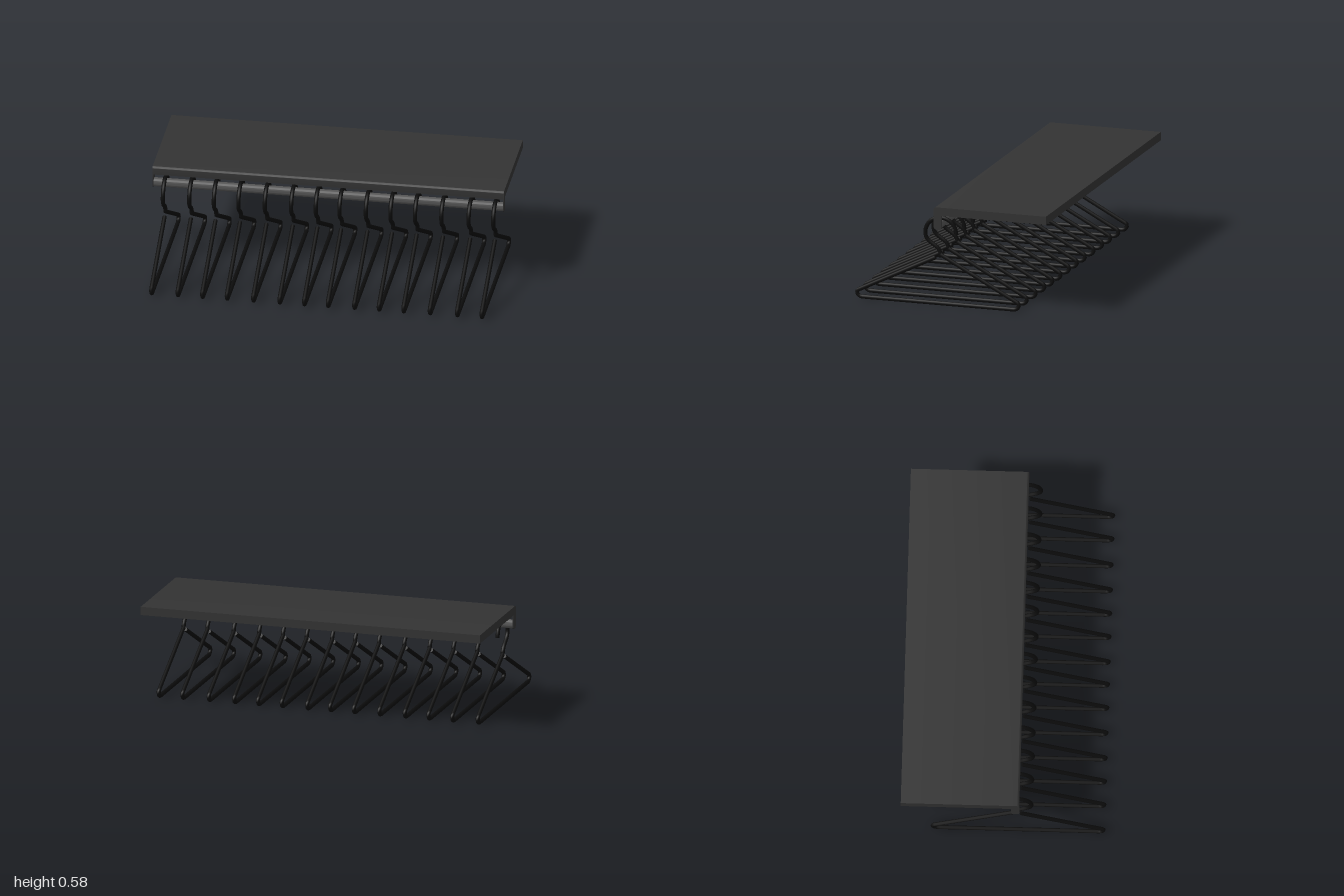
import * as THREE from 'three';
import { toCreasedNormals } from 'three/addons/utils/BufferGeometryUtils.js';

const shelfMat = new THREE.MeshStandardMaterial({ color: 0x333333 });
const rodMat = new THREE.MeshStandardMaterial({ color: 0x555555 });
const wireMat = new THREE.MeshStandardMaterial({ color: 0x0c0c0c });

function addMesh(parent, name, geometry, material) {
  const mesh = new THREE.Mesh(geometry, material);
  mesh.name = name;
  parent.add(mesh);
  return mesh;
}

// Rectangle in the z-y plane with its own radius per corner, extruded from x0 to x1
function slab(zBack, zFront, y0, y1, x0, x1, { topFront = 0, topBack = 0, bottomFront = 0, bottomBack = 0 }) {
  const l = -zFront, r = -zBack;
  const s = new THREE.Shape();
  const corner = (cx, cy, radius, start) => {
    if (radius) s.absarc(cx, cy, radius, start, start + Math.PI / 2, false);
    else s.lineTo(cx, cy);
  };
  s.moveTo(l + bottomFront, y0);
  corner(r - bottomBack, y0 + bottomBack, bottomBack, -Math.PI / 2);
  corner(r - topBack, y1 - topBack, topBack, 0);
  corner(l + topFront, y1 - topFront, topFront, Math.PI / 2);
  corner(l + bottomFront, y0 + bottomFront, bottomFront, Math.PI);
  const g = new THREE.ExtrudeGeometry(s, { depth: x1 - x0, bevelEnabled: false, curveSegments: 8 });
  g.rotateY(Math.PI / 2).translate(x0, 0, 0);
  return toCreasedNormals(g, 0.6);
}

// Centre line of the bent wire, drawn as (z, y)
class WireCurve extends THREE.Curve {
  constructor() {
    super();
    const p = new THREE.Path();
    p.absarc(0.066, 0.417, 0.092, Math.PI, 0, true);          // hook
    p.bezierCurveTo(0.158, 0.35, 0.066, 0.355, 0.068, 0.295); // neck
    p.lineTo(-0.39, 0.051);                                   // back shoulder
    p.bezierCurveTo(-0.407, 0.042, -0.393, 0.012, -0.367, 0.012);
    p.lineTo(0.533, 0.012);                                   // bottom bar
    p.bezierCurveTo(0.559, 0.012, 0.573, 0.042, 0.556, 0.051);
    p.lineTo(0.097, 0.277);                                   // front shoulder
    this.path = p;
  }
  getPoint(t, target = new THREE.Vector3()) {
    const q = this.path.getPoint(t);
    return target.set(0, q.y, q.x);
  }
}

export function createModel() {
  const model = new THREE.Group();
  model.name = 'shelfWithHangers';

  // Shelf board with a softened front edge
  addMesh(model, 'shelf', slab(-0.575, 0.091, 0.532, 0.58, -1, 1, { topFront: 0.014 }), shelfMat);

  // Hanging rod and the thin plates that hold its ends
  const round = { topFront: 0.02, topBack: 0.02, bottomFront: 0.02, bottomBack: 0.02 };
  addMesh(model, 'rod', slab(0.046, 0.09, 0.452, 0.502, -0.995, 0.995, round), rodMat);
  const plate = { topFront: 0.014, bottomFront: 0.018, bottomBack: 0.018 };
  for (const [name, x] of [['rightRodBracket', -1], ['leftRodBracket', 0.994]]) {
    addMesh(model, name, slab(0.044, 0.092, 0.45, 0.579, x, x + 0.006, plate), shelfMat);
  }

  // Wire hangers, unevenly spaced along the rod
  const curve = new WireCurve();
  const radius = 0.012;
  const wireGeo = new THREE.TubeGeometry(curve, 200, radius, 8, false);
  const capGeo = new THREE.CircleGeometry(radius, 8);
  const spots = [-0.93, -0.78, -0.64, -0.5, -0.35, -0.2, -0.06, 0.075, 0.225, 0.365, 0.505, 0.655, 0.81, 0.95];
  spots.forEach((x, i) => {
    const hanger = new THREE.Group();
    hanger.name = `hanger${i + 1}`;
    hanger.position.x = x;
    addMesh(hanger, 'wire', wireGeo, wireMat);
    for (const [name, t, dir] of [['hookTip', 0, -1], ['shoulderTip', 1, 1]]) {
      const cap = addMesh(hanger, name, capGeo, wireMat);
      cap.position.copy(curve.getPointAt(t));
      const out = curve.getTangentAt(t).multiplyScalar(dir);
      cap.quaternion.setFromUnitVectors(new THREE.Vector3(0, 0, 1), out);
    }
    model.add(hanger);
  });
  return model;
}
